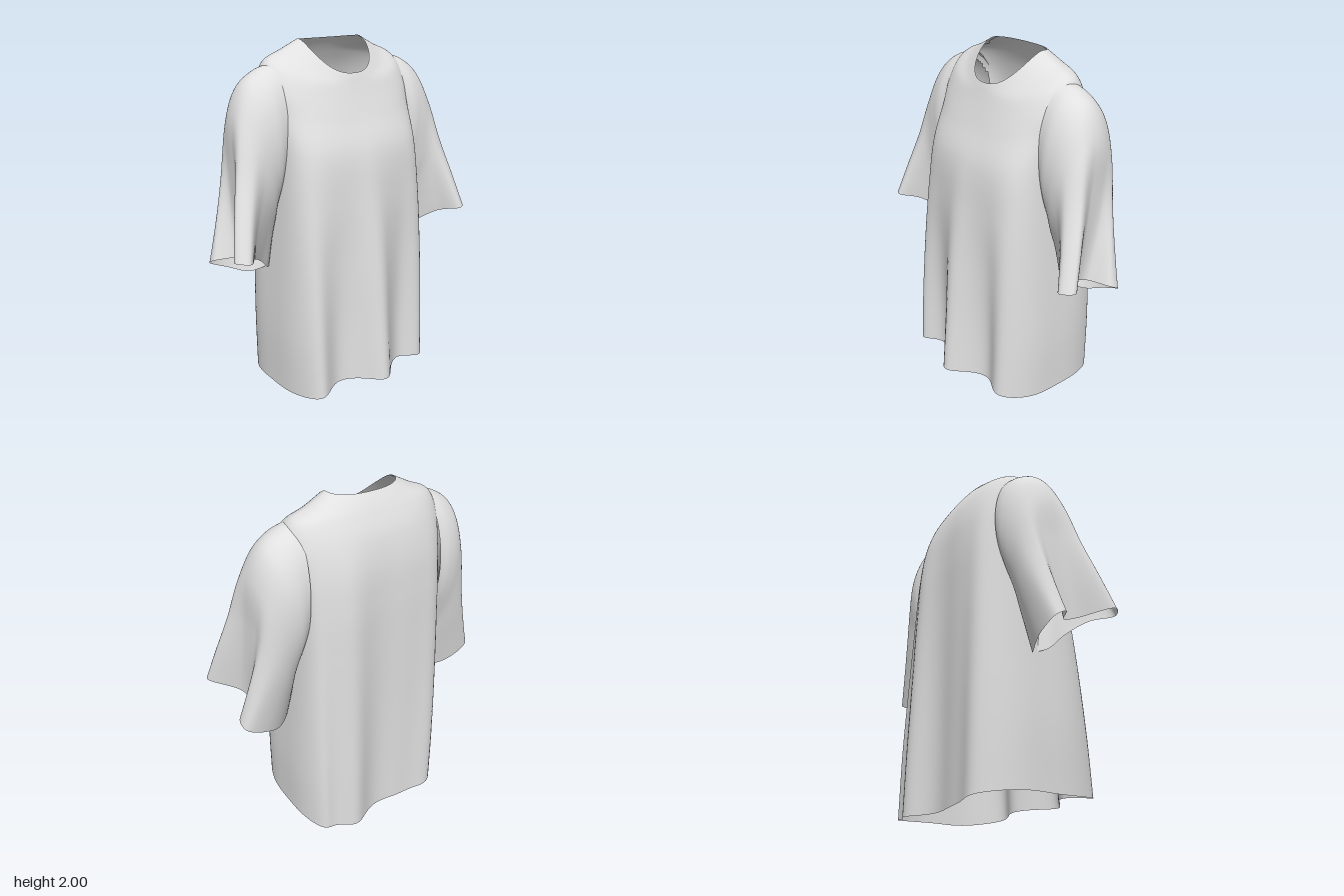
import * as THREE from 'three';

const COLS = 144;
const { lerp, smoothstep } = THREE.MathUtils;

// Smooth open-ended skin: column(u) returns the control points of one lengthwise line,
// faces starting at a point inside the optional cut-out are left away
function skin(column, rows, { mirror = false, cutOut = () => false } = {}) {
  const pos = [], idx = [];
  for (let i = 0; i < COLS; i++) {
    const line = new THREE.CatmullRomCurve3(column(i / COLS));
    for (let j = 0; j <= rows; j++) {
      const p = line.getPoint(j / rows);
      pos.push(mirror ? -p.x : p.x, p.y, p.z);
    }
  }
  for (let i = 0; i < COLS; i++) {
    for (let j = 0; j < rows; j++) {
      const a = i * (rows + 1) + j, b = ((i + 1) % COLS) * (rows + 1) + j;
      if (cutOut(...pos.slice(a * 3, a * 3 + 3))) continue;
      if (mirror) idx.push(a, b, a + 1, b, b + 1, a + 1);
      else idx.push(a, a + 1, b, b, a + 1, b + 1);
    }
  }
  const g = new THREE.BufferGeometry();
  g.setAttribute('position', new THREE.Float32BufferAttribute(pos, 3));
  g.setIndex(idx);
  g.computeVertexNormals();
  return g;
}

// Hanging folds of the body: [x, depth, width]
const frontFolds = [[0, 0.12, 0.1], [0.37, 0.05, 0.09], [-0.4, 0.09, 0.09], [0.22, -0.03, 0.08], [-0.22, -0.025, 0.08]];
const backFolds = [[0.22, 0.06, 0.1], [0.41, 0.06, 0.07], [0, -0.025, 0.12], [-0.36, 0.055, 0.1]];
const foldAt = (x, folds) => folds.reduce((s, [c, d, w]) => s + d * Math.exp(-(((x - c) / w) ** 2)), 0);

// Body rings from hem to neckline
// half width, front z, side z, back z, side y, front y, back y, squareness, front fold, back fold
const bodyRings = [
  [0.475, 0.31, -0.03, -0.368, 0.05, 0.115, 0.0, 3.4, 1, 1],
  [0.478, 0.30, -0.03, -0.368, 0.4, 0.42, 0.38, 3.4, 0.83, 0.9],
  [0.462, 0.295, -0.04, -0.368, 0.8, 0.8, 0.8, 3.5, 0.55, 0.7],
  [0.443, 0.285, -0.05, -0.368, 1.17, 1.17, 1.17, 3.6, 0.22, 0.5],
  [0.435, 0.258, -0.07, -0.365, 1.45, 1.43, 1.45, 3.4, 0.06, 0.35],
  [0.445, 0.195, -0.09, -0.35, 1.64, 1.6, 1.65, 2.9, 0, 0.2],
  [0.455, 0.152, -0.1, -0.314, 1.78, 1.71, 1.8, 2.5, 0, 0.05],
  [0.415, 0.132, -0.11, -0.272, 1.888, 1.765, 1.89, 2.3, 0, 0],
  [0.3, 0.12, -0.115, -0.24, 1.945, 1.8, 1.945, 2.2, 0, 0],
  [0.2, 0.11, -0.11, -0.21, 1.995, 1.825, 1.985, 2.3, 0, 0],
];

function bodyColumn(u) {
  const c = Math.cos(u * Math.PI * 2), s = Math.sin(u * Math.PI * 2);
  const front = s > 0;
  return bodyRings.map(([w, zf, zs, zb, ys, yf, yb, n, ff, fb]) => {
    const r = (Math.abs(c) ** n + Math.abs(s) ** n) ** (-1 / n);
    const x = w * r * c;
    const fold = front ? foldAt(x, frontFolds) * ff : -foldAt(x, backFolds) * fb;
    const z = zs + (front ? zf - zs : zs - zb) * r * s + fold * smoothstep(Math.abs(s), 0, 0.7);
    const toMiddle = Math.max(0, 1 - Math.abs(r * c) ** 2.6) ** 0.65;
    return new THREE.Vector3(x, lerp(ys, front ? yf : yb, toMiddle), z);
  });
}

// Armhole opening in the body, covered by the root of the sleeve
const armhole = (x, y, z) => Math.abs(x) > 0.3 && ((y - 1.53) / 0.31) ** 2 + ((z + 0.1) / 0.16) ** 2 < 1;

// Sleeve rings from armhole to cuff
// outer x, outer y, inner x, inner y, front z, back z, fold amount
const sleeveRings = [
  [0.395, 1.883, 0.42, 1.16, 0.09, -0.29, 0],
  [0.48, 1.855, 0.43, 1.12, 0.105, -0.3, 0],
  [0.57, 1.79, 0.435, 1.08, 0.105, -0.295, 0],
  [0.65, 1.63, 0.437, 1.03, 0.108, -0.275, 0.08],
  [0.70, 1.38, 0.44, 0.97, 0.125, -0.25, 0.38],
  [0.745, 1.15, 0.455, 0.88, 0.155, -0.22, 0.7],
  [0.78, 0.93, 0.48, 0.77, 0.19, -0.19, 1],
];

// Folded cuff outline, from the inner side round by the front
const cuff = new THREE.CatmullRomCurve3([
  [0.46, 0.77, -0.08], [0.5, 0.79, -0.02], [0.57, 0.86, 0.04], [0.66, 0.925, 0.13],
  [0.745, 0.95, 0.232], [0.805, 0.955, 0.18], [0.67, 0.91, 0.03], [0.665, 0.88, -0.05],
  [0.77, 0.86, -0.125], [0.765, 0.825, -0.185], [0.655, 0.77, -0.195], [0.54, 0.73, -0.15],
].map((p) => new THREE.Vector3(...p)), true);

function ovalPoint([ox, oy, ix, iy, zf, zb], u) {
  const t = (1 - Math.cos(u * Math.PI * 2)) / 2;
  const z = (zf + zb) / 2 + (zf - zb) / 2 * Math.sin(u * Math.PI * 2);
  return new THREE.Vector3(lerp(ix, ox, t), lerp(iy, oy, t), z);
}

function sleeveColumn(u) {
  const offset = cuff.getPoint(u).sub(ovalPoint(sleeveRings.at(-1), u));
  return sleeveRings.map((r) => ovalPoint(r, u).addScaledVector(offset, r[6]));
}

export function createModel() {
  const cloth = new THREE.MeshStandardMaterial({ color: 0xe0e0e0, side: THREE.DoubleSide });
  cloth.name = 'light grey cloth';
  const shirt = new THREE.Group();
  shirt.name = 'shirt';
  const add = (name, geometry) => {
    const m = new THREE.Mesh(geometry, cloth);
    m.name = name;
    shirt.add(m);
  };
  add('body', skin(bodyColumn, 90, { cutOut: armhole }));
  add('leftSleeve', skin(sleeveColumn, 56));
  add('rightSleeve', skin(sleeveColumn, 56, { mirror: true }));
  return shirt;
}
